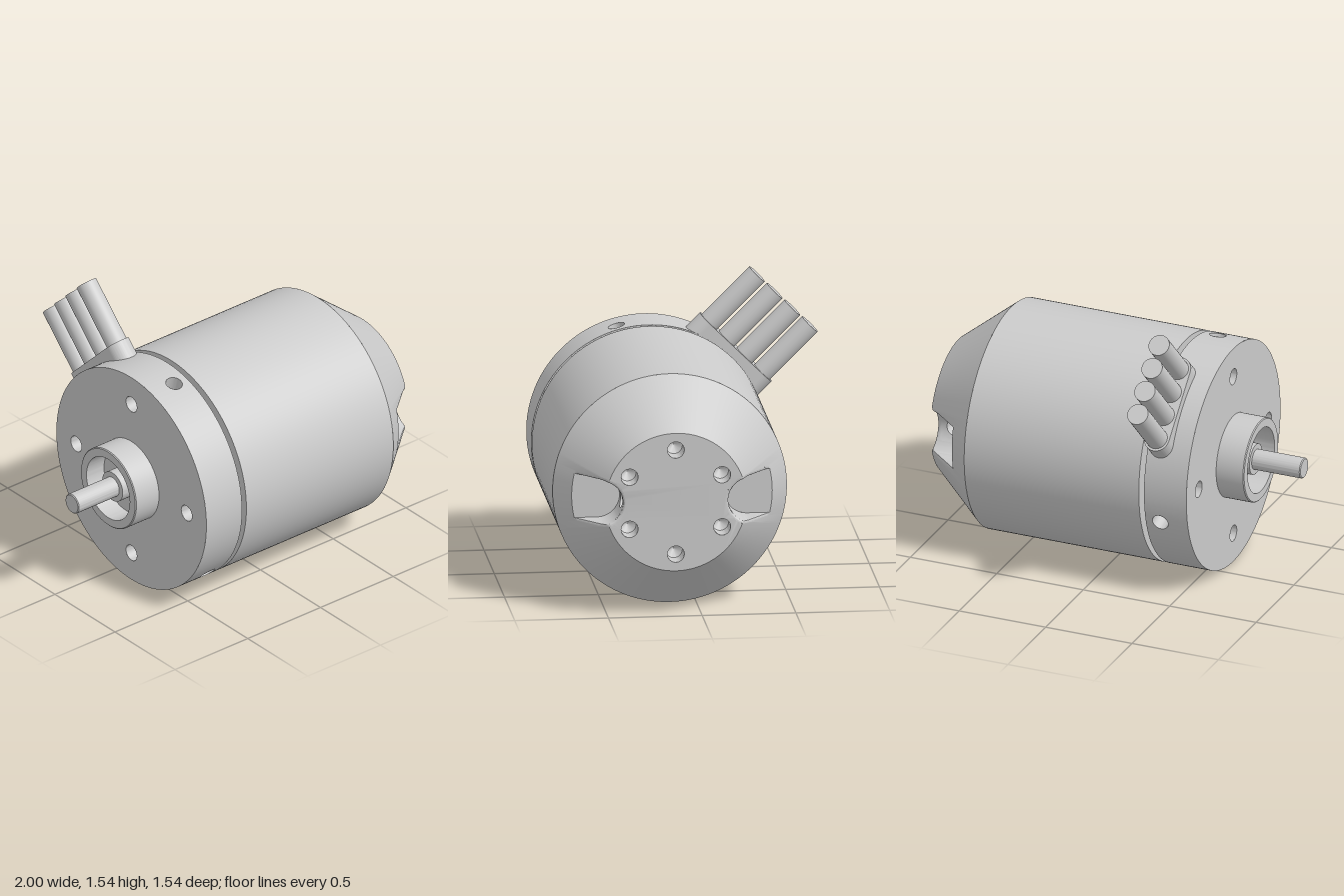
import * as THREE from 'three';
import { mergeGeometries, toCreasedNormals } from 'three/addons/utils/BufferGeometryUtils.js';

const { PI, sin, cos, tan, sqrt, abs, min, max, asin, hypot, sign } = Math;
const R = 0.625, SEG = 128;                     // body radius
const LIP = 0.135, WALL = 0.12, TIP = 0.4;      // notch half widths and tip centre
const RIM = sqrt(TIP * TIP - LIP * LIP);        // small end of the cone
const REACH = 0.535;                            // radius where the notch floor meets the cone
const coneX = r => min(1, 0.695 + (R - r) / (R - RIM) * 0.305);
const FLOOR = coneX(REACH);
const material = new THREE.MeshStandardMaterial({ color: 0xcccccc, side: THREE.DoubleSide });

// Surface from fn(u, v) -> [x, y, z], u and v in 0..1
function grid(nu, nv, fn) {
  const pos = [], idx = [];
  for (let j = 0; j <= nv; j++) for (let i = 0; i <= nu; i++) pos.push(...fn(i / nu, j / nv));
  for (let j = 0; j < nv; j++) for (let i = 0; i < nu; i++) {
    const a = j * (nu + 1) + i, b = a + 1, c = b + nu + 1, d = c - 1;
    idx.push(a, b, c, a, c, d);
  }
  const g = new THREE.BufferGeometry();
  g.setAttribute('position', new THREE.Float32BufferAttribute(pos, 3));
  g.setIndex(idx);
  return g;
}

// Rectangular patch of a surface with a round hole in it
function holePatch([u0, u1, v0, v1], cu, cv, r, fn) {
  return grid(4, 32, (k, t) => {
    const a = t * 2 * PI, c = cos(a), s = sin(a), m = max(abs(c), abs(s));
    const eu = (c > 0 ? u1 - cu : cu - u0) * c / m, ev = (s > 0 ? v1 - cv : cv - v0) * s / m;
    return fn(cu + r * c + (eu - r * c) * k, cv + r * s + (ev - r * s) * k);
  });
}

// Revolved profile of [radius, x] around the motor axis
const turned = pts => new THREE.LatheGeometry(pts.map(p => new THREE.Vector2(...p)), SEG).rotateZ(-PI / 2);
// Drilled blind hole opening at y = 0
const drilled = (r, depth) => new THREE.LatheGeometry(
  [[r, 0], [r, -depth], [0, -depth - 0.03]].map(p => new THREE.Vector2(...p)), 32);

function flatShape(points, holes = [], r = 0.045) {
  const s = new THREE.Shape(points.map(p => new THREE.Vector2(...p)));
  for (const [x, y] of holes) s.holes.push(new THREE.Path().absarc(x, y, r, 0, 2 * PI, true));
  return new THREE.ShapeGeometry(s, 32);
}

function part(name, geos) {
  const clean = geos.map(g => {
    const n = g.index ? g.toNonIndexed() : g;
    for (const k of Object.keys(n.attributes)) if (k !== 'position') n.deleteAttribute(k);
    return n;
  });
  const mesh = new THREE.Mesh(toCreasedNormals(mergeGeometries(clean), 0.5), material);
  mesh.name = name;
  return mesh;
}

const range = (a, b, n) => Array.from({ length: n + 1 }, (_, i) => a + (b - a) * i / n);
const ring = (r, n, start) => range(0, n - 1, n - 1).map(i => {
  const a = start + i * 2 * PI / n;
  return [r * cos(a), r * sin(a)];
});

// Notch outline: |t| <= 1 is the round tip, up to 2 the straight side; returns [z, y]
function notchPath(r, t) {
  if (abs(t) <= 1) return [TIP - r * cos(t * PI / 2), r * sin(t * PI / 2)];
  return [TIP + (abs(t) - 1) * (sqrt(REACH * REACH - r * r) - TIP), sign(t) * r];
}

function makeNotch() {
  const w = 0.45, holeX = 0.9, yw = WALL * sin(w * PI / 2), tip = 0.985;
  const lowX = t => max(FLOOR, coneX(hypot(...notchPath(WALL, t))) - 0.015);
  const side = (a, b) => grid(1, 24, (u, v) => {
    const t = a + (b - a) * v, [z, y] = notchPath(WALL, t);
    return [FLOOR + (lowX(t) - FLOOR) * u, y, z];
  });
  const lip = grid(3, 80, (u, v) => {
    const t = -2 + 4 * v, [z0, y0] = notchPath(WALL, t), [z1, y1] = notchPath(LIP, t);
    const k = 1 - cos(u * PI / 2), h = sin(u * PI / 2), x0 = lowX(t), x1 = coneX(hypot(z1, y1));
    return [x0 + (x1 - x0) * h, y0 + (y1 - y0) * k, z0 + (z1 - z0) * k];
  });
  const patch = holePatch([FLOOR, tip, -yw, yw], holeX, 0, 0.045,
    (x, y) => [x, y, TIP - sqrt(WALL * WALL - y * y)]);
  const e = asin(WALL / REACH);
  const floor = flatShape([
    ...range(-2, 2, 80).map(t => notchPath(WALL, t)),
    ...range(e, -e, 12).map(a => [REACH * cos(a), REACH * sin(a)]),
  ]).rotateY(-PI / 2).translate(FLOOR, 0, 0);
  return [side(-2, -w), side(w, 2), lip, patch, floor];
}

function makeCan() {
  // Cone, cut back where the two notches pass through it
  const a1 = asin(LIP / REACH), a2 = Math.atan(LIP / TIP), a3 = asin(LIP / TIP);
  const q = [...range(0, a1, 6), ...range(a1, a2, 6).slice(1), ...range(a2, a3, 5).slice(1),
    ...range(a3, PI / 2, 26).slice(1)];
  const half = [...q, ...q.slice(0, -1).reverse().map(a => PI - a)];
  const angles = [...half, ...half.slice(1).map(a => a + PI)];
  const endRadius = a => {
    const s = abs(sin(a));
    if (s >= LIP / TIP - 1e-6) return RIM;
    if (abs(tan(a)) <= LIP / TIP) return min(REACH, LIP / max(s, 1e-6));
    return TIP * abs(cos(a)) + sqrt(max(0, LIP * LIP - TIP * TIP * s * s));
  };
  const n = angles.length - 1;
  const cone = grid(1, n, (u, v) => {
    const a = angles[Math.round(v * n)], r = R + (endRadius(a) - R) * u;
    return [coneX(r), r * sin(a), r * cos(a)];
  });
  // End face with six drilled holes
  const tm = 1 - 2 * a3 / PI, arc = (a, b) => range(a, b, 52).map(t => [RIM * cos(t), RIM * sin(t)]);
  const bite = (a, b, m) => range(a, b, 32).slice(1, -1).map(t => notchPath(LIP, t)).map(([d, y]) => [m * d, y]);
  const holes = ring(0.285, 6, PI / 6);
  const face = flatShape([...arc(a3, PI - a3), ...bite(tm, -tm, -1),
    ...arc(PI + a3, 2 * PI - a3), ...bite(-tm, tm, 1)], holes).rotateY(PI / 2).translate(1, 0, 0);
  const bores = holes.map(([z, y]) => drilled(0.045, 0.1).rotateZ(-PI / 2).translate(1, y, z));
  // Cross hole between the notches, trimmed to their curved walls
  const cross = new THREE.CylinderGeometry(0.045, 0.045, 1, 32, 1, true).rotateX(PI / 2);
  const p = cross.attributes.position;
  for (let i = 0; i < p.count; i++) p.setZ(i, sign(p.getZ(i)) * (TIP - sqrt(WALL * WALL - p.getY(i) ** 2)));
  cross.translate(0.9, 0, 0);
  const shell = turned([[0.44, -0.315], [R, -0.315], [R, 0.695]]);
  return part('can', [shell, cone, face, ...bores, cross,
    ...makeNotch(), ...makeNotch().map(g => g.rotateX(PI))]);
}

function makeMountPlate() {
  const x0 = -0.59, x1 = -0.345, hx = -0.43, w = 0.1, dw = asin(w / R), geos = [];
  // Rim with three radial screw holes 120 degrees apart
  for (let i = 0; i < 3; i++) {
    const a = (75 + 120 * i) * PI / 180, span = 2 * PI / 3 - 2 * dw;
    geos.push(holePatch([x0, x1, -w, w], hx, 0, 0.045, (x, s) => {
      const b = a + asin(s / R);
      return [x, R * sin(b), R * cos(b)];
    }));
    geos.push(grid(1, 40, (u, v) => {
      const b = a + dw + span * v;
      return [x0 + (x1 - x0) * u, R * sin(b), R * cos(b)];
    }));
    geos.push(drilled(0.045, 0.12).translate(0, R, 0).rotateX(PI / 2 - a).translate(hx, 0, 0));
  }
  // Mounting face with four screw holes
  const holes = ring(0.46, 4, 0);
  const face = new THREE.Shape().absarc(0, 0, R, 0, 2 * PI);
  face.holes.push(new THREE.Path().absarc(0, 0, 0.2, 0, 2 * PI, true));
  for (const [x, y] of holes) face.holes.push(new THREE.Path().absarc(x, y, 0.045, 0, 2 * PI, true));
  geos.push(new THREE.ShapeGeometry(face, 64).rotateY(-PI / 2).translate(x0, 0, 0));
  for (const [z, y] of holes) geos.push(drilled(0.045, 0.12).rotateZ(PI / 2).translate(x0, y, z));
  geos.push(turned([[R, x1], [0.44, x1]]));
  return part('mountPlate', geos);
}

function makeLeads() {
  // Built along +y, then leaned back
  const g = new THREE.Group();
  g.name = 'leads';
  const r = 0.07, l = 0.27 - r;
  const s = new THREE.Shape().absarc(0, l, r, 0, PI).absarc(0, -l, r, PI, 2 * PI);
  const block = new THREE.ExtrudeGeometry(s, { depth: 0.17, bevelEnabled: false, curveSegments: 24 });
  g.add(part('leadBlock', [block.rotateX(-PI / 2).translate(0, 0.5, 0)]));
  for (let i = 0; i < 4; i++) {
    const wire = new THREE.CylinderGeometry(0.058, 0.058, 0.43, 32);
    g.add(part('wire', [wire.translate(0, 0.815, (i - 1.5) * 0.133)]));
  }
  g.position.x = -0.415;
  g.rotation.x = -PI / 4;
  return g;
}

export function createModel() {
  const model = new THREE.Group();
  model.name = 'motor';
  model.add(
    makeCan(),
    makeMountPlate(),
    part('core', [turned([[0.445, -0.35], [0.445, -0.31]])]),
    part('boss', [turned([[0.23, -0.59], [0.23, -0.745], [0.225, -0.75], [0.18, -0.75], [0.18, -0.63], [0, -0.63]])]),
    part('collar', [turned([[0.085, -0.63], [0.085, -0.72], [0.05, -0.72]])]),
    part('shaft', [turned([[0.056, -0.63], [0.056, -0.995], [0.051, -1], [0, -1]])]),
    makeLeads(),
  );
  model.position.set(0, R, 0.14);
  const root = new THREE.Group();
  root.add(model);
  return root;
}
